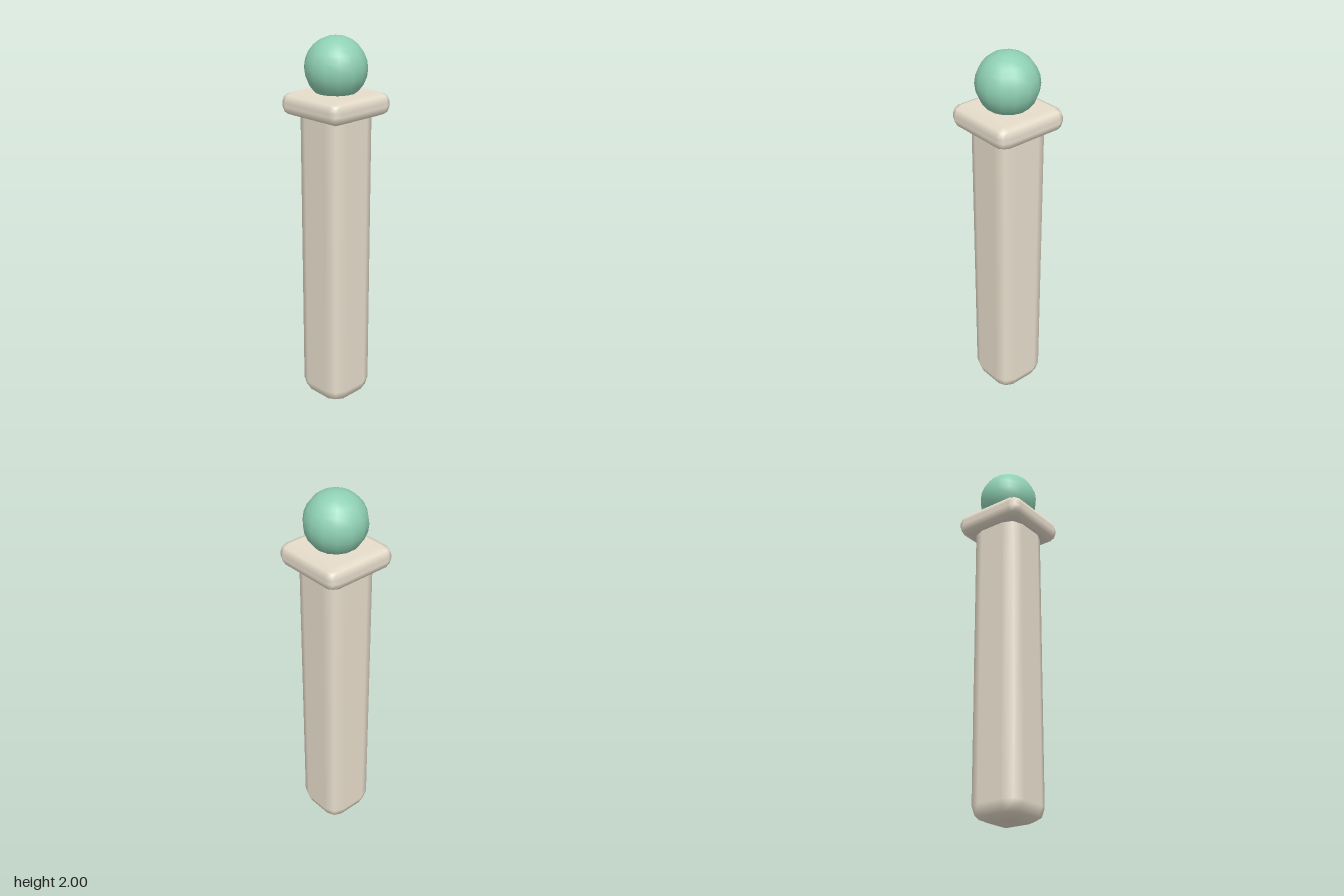
import * as THREE from 'three';
import { RoundedBoxGeometry } from 'three/addons/geometries/RoundedBoxGeometry.js';

export function createModel() {
  const model = new THREE.Group();
  const stone = new THREE.MeshStandardMaterial({ color: 0xe6dccb });
  const green = new THREE.MeshStandardMaterial({ color: 0x8fd0b3 });

  const add = (name, geometry, material, y) => {
    const mesh = new THREE.Mesh(geometry, material);
    mesh.name = name;
    mesh.position.y = y;
    model.add(mesh);
    return mesh;
  };

  // Square post with bevelled edges, its top end inside the cap
  add('post', new RoundedBoxGeometry(0.3, 1.7, 0.3, 1, 0.08), stone, 0.85);

  // Wider bevelled slab on the post
  add('cap', new RoundedBoxGeometry(0.41, 0.12, 0.41, 1, 0.05), stone, 1.66);

  // Ball finial, turned so that a corner of its outline faces front
  const ball = add('ball', new THREE.SphereGeometry(0.16, 14, 12), green, 1.84);
  ball.rotation.y = Math.PI / 2;

  return model;
}
